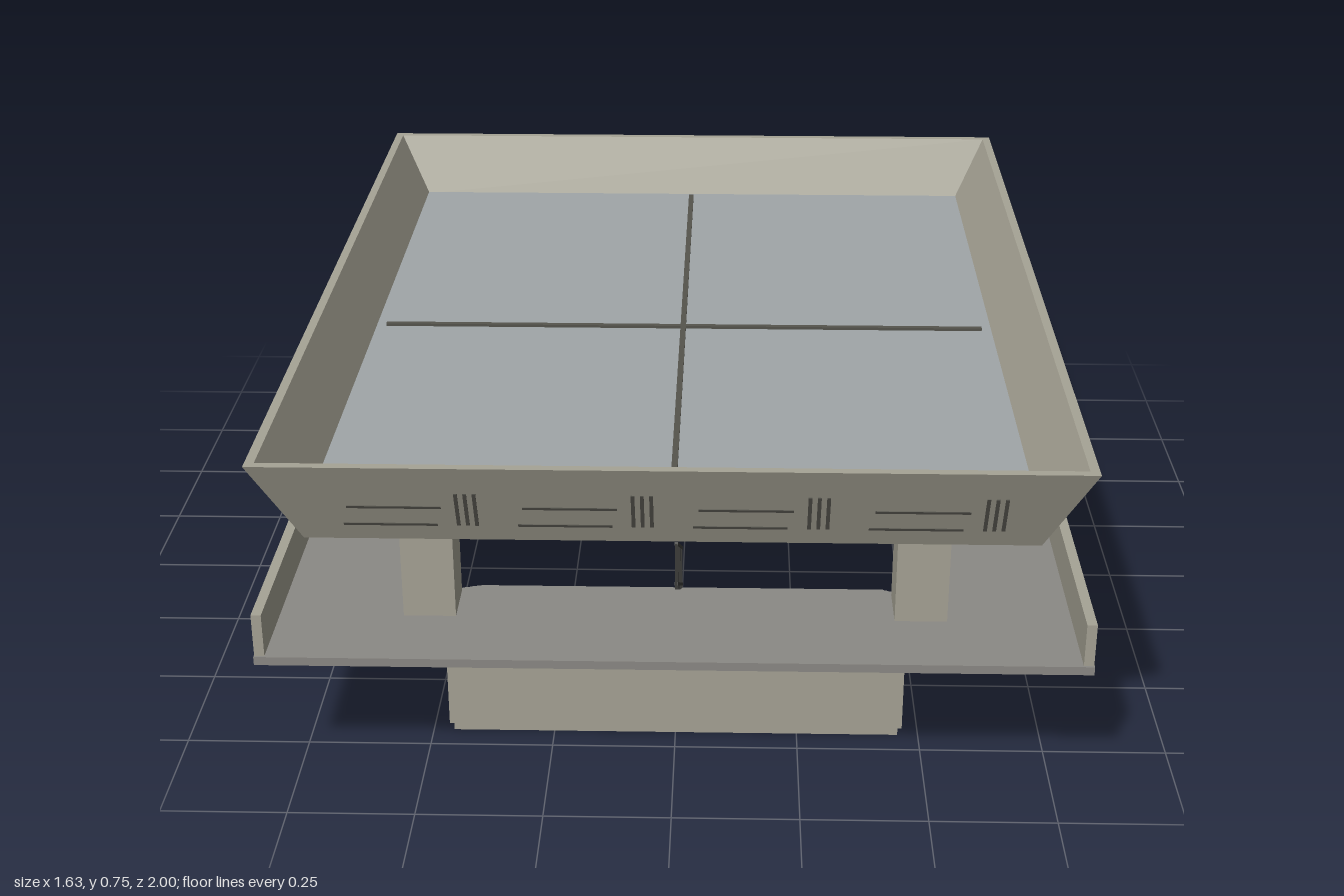
import * as THREE from 'three';

const mat = (color) => new THREE.MeshStandardMaterial({ color });
const concrete = mat(0xa6a395);
const paving = mat(0x8b8985);
const roofGlass = mat(0xa0a6a8);
const metal = mat(0x3c3c3a);
const groove = mat(0x55544d);

function add(parent, name, geometry, material, x = 0, y = 0, z = 0) {
  const mesh = new THREE.Mesh(geometry, material);
  mesh.name = name;
  mesh.position.set(x, y, z);
  parent.add(mesh);
  return mesh;
}

function box(parent, name, material, w, h, d, x, y, z) {
  return add(parent, name, new THREE.BoxGeometry(w, h, d), material, x, y, z);
}

// Flat-sided rectangular shell through sections [halfX, y, halfZ]
function rectShell(sections) {
  const corners = [[1, 1], [1, -1], [-1, -1], [-1, 1]];
  const pos = [];
  const point = ([hx, y, hz], k) => [corners[k % 4][0] * hx, y, corners[k % 4][1] * hz];
  for (let i = 0; i < sections.length - 1; i++) {
    for (let k = 0; k < 4; k++) {
      const a = point(sections[i], k), b = point(sections[i], k + 1);
      const c = point(sections[i + 1], k + 1), d = point(sections[i + 1], k);
      if (sections[i][0] > 0) pos.push(...a, ...b, ...c);
      pos.push(...a, ...c, ...d);
    }
  }
  // A section of zero size closes the shell with triangles
  const g = new THREE.BufferGeometry();
  g.setAttribute('position', new THREE.Float32BufferAttribute(pos, 3));
  g.computeVertexNormals();
  return g;
}

function rectPath(path, x0, y0, x1, y1) {
  path.moveTo(x0, y0);
  path.lineTo(x1, y0);
  path.lineTo(x1, y1);
  path.lineTo(x0, y1);
  path.closePath();
  return path;
}

// Railing in the z direction, its foot running from (z0, y0) to (z1, y1)
function railing(parent, name, x, z0, y0, z1, y1, count) {
  const g = new THREE.Group();
  g.name = name;
  const h = 0.105;
  for (let i = 0; i <= count; i++) {
    const t = i / count;
    box(g, 'baluster', metal, 0.005, h, 0.005, x,
      THREE.MathUtils.lerp(y0, y1, t) + h / 2, THREE.MathUtils.lerp(z0, z1, t));
  }
  const len = Math.hypot(z1 - z0, y1 - y0);
  for (const lift of [0.012, h]) {
    const rail = box(g, 'rail', metal, 0.007, 0.007, len, x, (y0 + y1) / 2 + lift, (z0 + z1) / 2);
    rail.rotation.x = -Math.atan2(y1 - y0, z1 - z0);
  }
  parent.add(g);
}

// Slots on one sloping roof side
function roofSlots(parent, angle, dist, flare, start, step, count) {
  const side = new THREE.Group();
  side.name = 'roofSlots';
  side.rotation.y = angle;
  const face = new THREE.Group();
  const tilt = Math.atan2(flare, 0.185);
  face.position.set(0, 0.565, dist);
  face.rotation.x = tilt;
  const v = (y) => (y - 0.565) / Math.cos(tilt);
  for (let i = 0; i < count; i++) {
    const u = start + i * step;
    box(face, 'longSlot', groove, 0.175, 0.006, 0.003, u + 0.088, v(0.65), 0);
    box(face, 'longSlot', groove, 0.175, 0.006, 0.003, u + 0.078, v(0.605), 0);
    for (let k = 0; k < 3; k++) {
      box(face, 'crossSlot', groove, 0.007, 0.09, 0.003, u + 0.205 + k * 0.017, v(0.645), 0);
    }
  }
  side.add(face);
  parent.add(side);
}

export function createModel() {
  const model = new THREE.Group();
  model.name = 'stationPavilion';

  // Basement shell, open at the top
  add(model, 'basement', rectShell([
    [0, 0, 0], [0.458, 0, 0.695], [0.458, 0.02, 0.695], [0.466, 0.02, 0.702], [0.466, 0.27, 0.702],
  ]), concrete);

  // Floor slab with two stairwells
  const plan = rectPath(new THREE.Shape(), -0.815, -0.89, 0.815, 0.89);
  for (const s of [1, -1]) {
    plan.holes.push(rectPath(new THREE.Path(), -0.485, s * 0.12, 0.485, s * 0.615));
  }
  const slab = new THREE.ExtrudeGeometry(plan, { depth: 0.018, bevelEnabled: false });
  slab.rotateX(-Math.PI / 2);
  add(model, 'floorSlab', slab, paving, 0, 0.267, 0);

  // Side walls and columns
  for (const s of [1, -1]) {
    box(model, 'sideWall', concrete, 0.02, 0.1, 1.77, s * 0.804, 0.325, 0);
    for (const z of [0.668, 0.005, -0.655]) {
      box(model, 'column', concrete, 0.105, 0.285, 0.106, s * 0.492, 0.426, z);
    }
  }

  // Stairs and railings, one set at each end
  for (const end of [0, Math.PI]) {
    const stair = new THREE.Group();
    stair.name = 'stairwell';
    stair.rotation.y = end;
    const steps = 12;
    for (let i = 0; i < steps; i++) {
      box(stair, 'step', paving, 0.92, 0.022, 0.041, 0,
        0.255 - i * 0.0215, 0.595 - i * 0.04);
    }
    for (const x of [-0.48, 0.48]) railing(stair, 'sideRailing', x, 0.612, 0.285, 0.125, 0.285, 22);
    railing(stair, 'middleRailing', 0, 0.6, 0.285, 0.16, 0.04, 18);
    model.add(stair);
  }

  // Flared roof with a sunken panel and crossing ribs
  add(model, 'roof', rectShell([
    [0, 0.565, 0], [0.69, 0.565, 0.92], [0.775, 0.75, 1], [0.757, 0.75, 0.982], [0.685, 0.615, 0.912],
  ]), concrete);
  box(model, 'roofPanel', roofGlass, 1.376, 0.02, 1.83, 0, 0.608, 0);
  box(model, 'roofRib', groove, 0.012, 0.008, 1.78, 0, 0.62, 0);
  box(model, 'roofRib', groove, 1.33, 0.008, 0.012, 0, 0.62, 0);

  // Slots on all four roof sides
  for (const turn of [0, Math.PI]) {
    roofSlots(model, turn, 0.92, 0.08, -0.6, 0.325, 4);
    roofSlots(model, turn + Math.PI / 2, 0.69, 0.085, -0.825, 0.335, 5);
  }
  return model;
}
